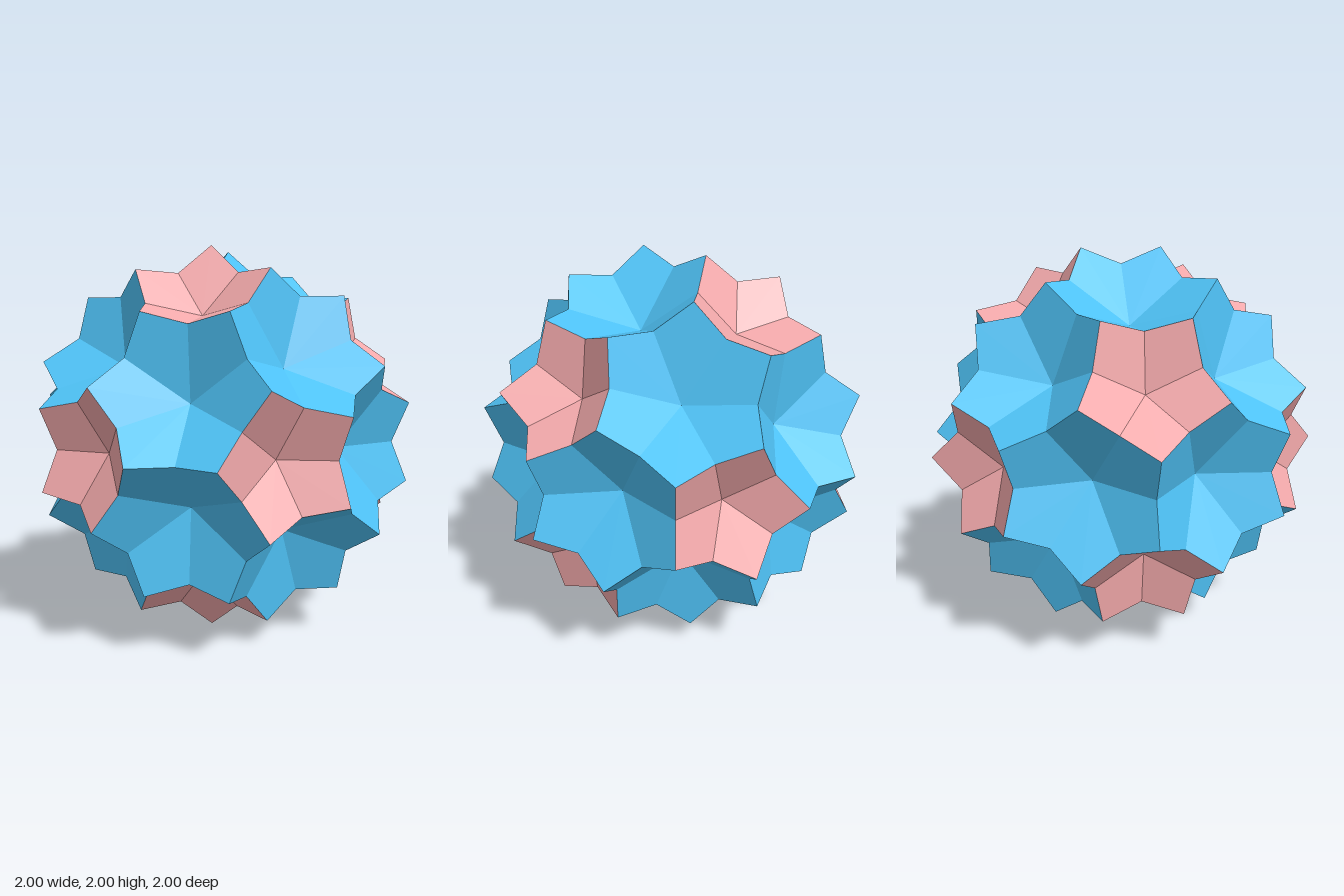
import * as THREE from 'three';

const PHI = (1 + Math.sqrt(5)) / 2;
const EDGE_DIP = 0.918; // edge midpoints are drawn in towards the centre of the ball

// The 12 corners of the icosahedron that is truncated to give the ball
function icosahedronCorners() {
  const out = [];
  for (const s of [1, -1]) {
    for (const t of [1, -1]) {
      const a = s, b = t / PHI;
      out.push(new THREE.Vector3(0, a, b), new THREE.Vector3(a, b, 0), new THREE.Vector3(b, 0, a));
    }
  }
  return out;
}

// A sunken star-edged dish: one flat kite per corner, meeting at a deep centre
function dishGeometry(corners) {
  const axis = new THREE.Vector3();
  corners.forEach((c) => axis.add(c));
  axis.normalize();

  // Order the corners counter-clockwise as seen from outside
  const u = corners[0].clone().projectOnPlane(axis).normalize();
  const v = axis.clone().cross(u);
  const angle = (c) => Math.atan2(c.dot(v), c.dot(u));
  const ring = [...corners].sort((a, b) => angle(a) - angle(b));
  const n = ring.length;
  const mids = ring.map((c, i) => c.clone().add(ring[(i + 1) % n]).multiplyScalar(EDGE_DIP / 2));

  // Centre placed on the axis so that every kite is flat
  const radius = (p) => p.clone().projectOnPlane(axis).length();
  const fold = mids[0].clone().lerp(mids[n - 1], 0.5);
  const t = radius(ring[0]) / (radius(ring[0]) - radius(fold));
  const centre = ring[0].clone().lerp(fold, t);

  const points = [];
  ring.forEach((c, i) => {
    const before = mids[(i + n - 1) % n];
    const after = mids[i];
    points.push(centre, before, c, centre, c, after);
  });
  const geometry = new THREE.BufferGeometry().setFromPoints(points);
  geometry.computeVertexNormals();
  return geometry;
}

export function createModel() {
  const model = new THREE.Group();
  model.name = 'facetedBall';

  const pink = new THREE.MeshStandardMaterial({ color: 0xf4aaac, flatShading: true });
  const blue = new THREE.MeshStandardMaterial({ color: 0x4fc3f7, flatShading: true });

  const tips = icosahedronCorners();
  const adjacent = (a, b) => a !== b && a.distanceTo(b) < 1.3;
  const cut = (a, b) => a.clone().lerp(b, 1 / 3);

  const addDish = (group, name, corners, material) => {
    const mesh = new THREE.Mesh(dishGeometry(corners), material);
    mesh.name = name;
    group.add(mesh);
  };

  // Pink five-sided dishes, one at each icosahedron corner
  const pentagons = new THREE.Group();
  pentagons.name = 'pentagonDishes';
  tips.forEach((p) => {
    const corners = tips.filter((q) => adjacent(p, q)).map((q) => cut(p, q));
    addDish(pentagons, 'pentagonDish', corners, pink);
  });

  // Blue six-sided dishes, one on each icosahedron face
  const hexagons = new THREE.Group();
  hexagons.name = 'hexagonDishes';
  for (let i = 0; i < 12; i++) {
    for (let j = i + 1; j < 12; j++) {
      for (let k = j + 1; k < 12; k++) {
        const [p, q, r] = [tips[i], tips[j], tips[k]];
        if (!adjacent(p, q) || !adjacent(q, r) || !adjacent(r, p)) continue;
        const corners = [cut(p, q), cut(q, p), cut(q, r), cut(r, q), cut(r, p), cut(p, r)];
        addDish(hexagons, 'hexagonDish', corners, blue);
      }
    }
  }

  // Stand the ball on the ground
  pentagons.position.y = hexagons.position.y = 1;
  model.add(pentagons, hexagons);
  return model;
}
